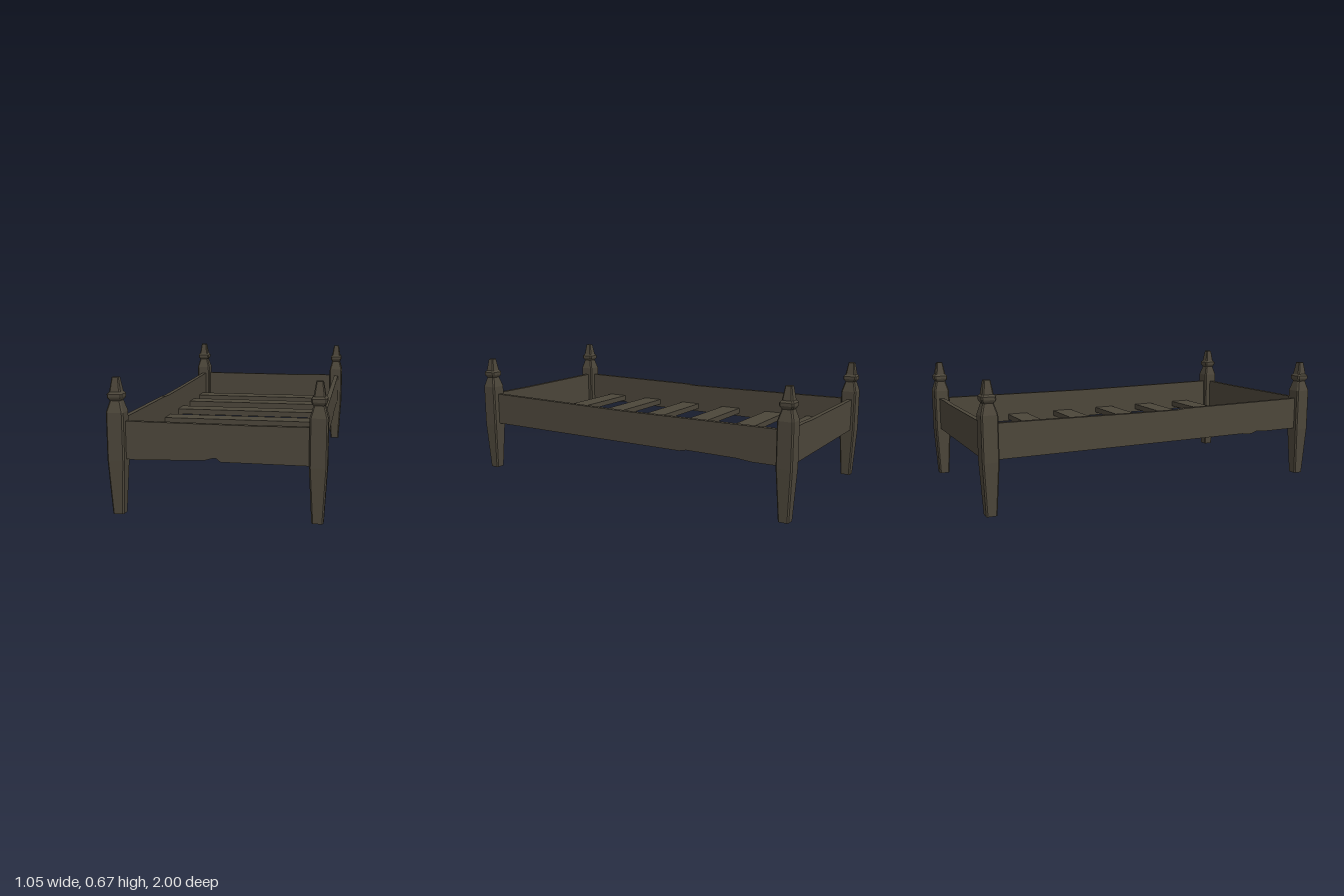
import * as THREE from 'three';

// Lofts a chamfered square section through [y, halfWidth] rings, with flat caps
function loftSquare(rings, chamfer) {
  const pos = [];
  const loops = rings.map(([y, h]) => {
    const k = h - Math.min(chamfer, h * 0.25);
    return [[h, -k], [h, k], [k, h], [-k, h], [-h, k], [-h, -k], [-k, -h], [k, -h]]
      .map(([x, z]) => [x, y, z]);
  });
  const tri = (...p) => p.forEach((v) => pos.push(...v));
  const last = loops.length - 1;
  for (let j = 0; j < 8; j++) {
    const n = (j + 1) % 8;
    for (let i = 0; i < last; i++) {
      const a = loops[i][j], b = loops[i][n], c = loops[i + 1][j], d = loops[i + 1][n];
      tri(a, c, b);
      tri(b, c, d);
    }
    tri([0, rings[0][0], 0], loops[0][j], loops[0][n]);
    tri([0, rings[last][0], 0], loops[last][n], loops[last][j]);
  }
  const geo = new THREE.BufferGeometry();
  geo.setAttribute('position', new THREE.Float32BufferAttribute(pos, 3));
  geo.computeVertexNormals();
  return geo;
}

// Board cut from an outline of [along, y] points, centred on its thickness
function board(outline, thickness) {
  const shape = new THREE.Shape(outline.map(([u, y]) => new THREE.Vector2(u, y)));
  const geo = new THREE.ExtrudeGeometry(shape, { depth: thickness, bevelEnabled: false });
  return geo.translate(0, 0, -thickness / 2);
}

export function createModel() {
  const bed = new THREE.Group();
  bed.name = 'bedFrame';
  const wood = new THREE.MeshStandardMaterial({ color: 0x4c463a, flatShading: true });
  wood.name = 'darkWood';

  const add = (name, geo, x, y, z) => {
    const mesh = new THREE.Mesh(geo, wood);
    mesh.name = name;
    mesh.position.set(x, y, z);
    bed.add(mesh);
    return mesh;
  };

  // Corner posts: tapered foot, straight shaft, collar and finial
  const postGeo = loftSquare([
    [0, 0.028], [0.27, 0.0425], [0.5, 0.0425], [0.555, 0.027], [0.565, 0.034],
    [0.572, 0.037], [0.587, 0.037], [0.597, 0.028], [0.658, 0.0175], [0.665, 0.0165],
  ], 0.007);
  add('frontRightPost', postGeo, -0.4765, 0, 0.9535);
  add('frontLeftPost', postGeo, 0.4825, 0, 0.944);
  add('backRightPost', postGeo, -0.4865, 0, -0.951);
  add('backLeftPost', postGeo, 0.474, 0, -0.9575);

  // End boards, the front one with a worn notch under its middle
  add('frontBoard', board([
    [-0.47, 0.274], [-0.38, 0.268], [-0.05, 0.28], [-0.01, 0.292], [0.005, 0.29],
    [0.025, 0.274], [0.47, 0.272], [0.47, 0.454], [0.2, 0.452], [-0.47, 0.456],
  ], 0.026), 0, 0, 0.95);
  add('backBoard', board([
    [-0.47, 0.275], [0.47, 0.275], [0.47, 0.454], [0.32, 0.457], [0.2, 0.453], [-0.47, 0.455],
  ], 0.026), 0, 0, -0.96);

  // Side rails with slightly uneven edges
  const leftRail = board([
    [-0.95, 0.276], [-0.78, 0.274], [-0.7, 0.282], [-0.41, 0.284], [-0.37, 0.275],
    [0.95, 0.275], [0.95, 0.455], [0, 0.447], [-0.95, 0.454],
  ], 0.026).rotateY(-Math.PI / 2);
  add('leftRail', leftRail, 0.477, 0, 0);
  const rightRail = board([
    [-0.95, 0.275], [0.54, 0.274], [0.56, 0.269], [0.6, 0.269], [0.64, 0.282], [0.7, 0.276],
    [0.95, 0.275], [0.95, 0.455], [0.15, 0.449], [0.1, 0.444], [-0.2, 0.446], [-0.95, 0.455],
  ], 0.026).rotateY(-Math.PI / 2);
  add('rightRail', rightRail, -0.482, 0, 0);

  // Cross slats
  const slatGeo = new THREE.BoxGeometry(0.95, 0.032, 0.12);
  [-0.754, -0.486, -0.185, 0.114, 0.41, 0.701].forEach((z, i) => {
    add(`slat${i + 1}`, slatGeo, -0.0025, 0.309, z);
  });
  return bed;
}
